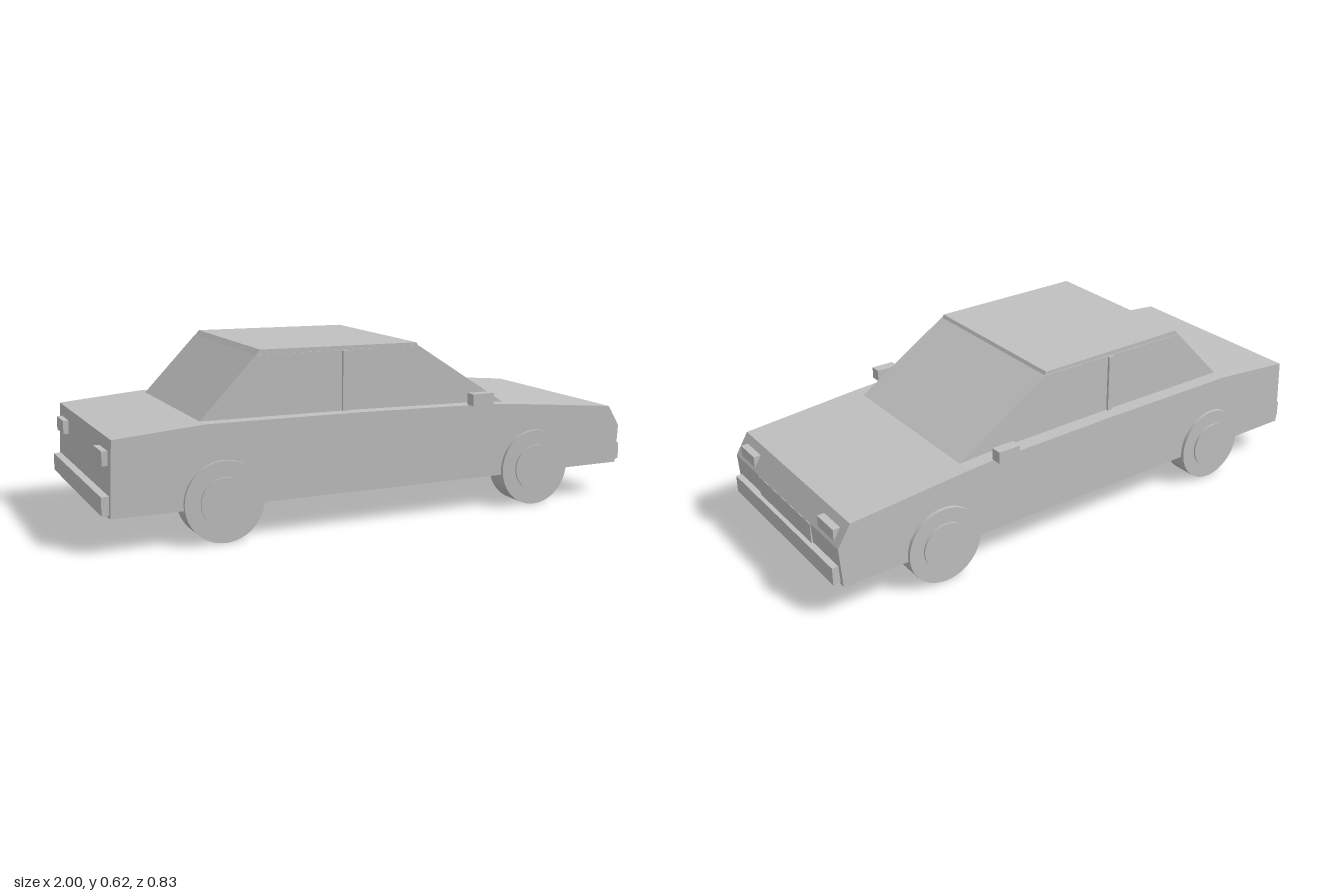
import * as THREE from 'three';

export function createModel() {
  const car = new THREE.Group();
  car.name = 'sedan';
  const paint = new THREE.MeshStandardMaterial({ color: 0xc0c0c0 });
  paint.name = 'plain grey';

  const add = (name, geometry) => {
    const mesh = new THREE.Mesh(geometry, paint);
    mesh.name = name;
    car.add(mesh);
    return mesh;
  };
  // Box given by its limits on each axis
  const box = (name, x0, x1, y0, y1, z0, z1) =>
    add(name, new THREE.BoxGeometry(x1 - x0, y1 - y0, z1 - z0))
      .position.set((x0 + x1) / 2, (y0 + y1) / 2, (z0 + z1) / 2);
  // Side profile extruded across the car
  const slab = (name, points, halfWidth) => {
    const shape = new THREE.Shape(points.map(([x, y]) => new THREE.Vector2(x, y)));
    const geometry = new THREE.ExtrudeGeometry(shape, { depth: 2 * halfWidth, bevelEnabled: false });
    add(name, geometry.translate(0, 0, -halfWidth));
  };

  // Lower body with sloping bonnet, slanted nose and boot
  slab('body', [
    [-0.977, 0.122], [0.973, 0.122], [0.982, 0.264], [0.935, 0.341],
    [0.49, 0.382], [0.4, 0.388], [-0.1, 0.397], [-0.66, 0.4], [-0.966, 0.375],
  ], 0.377);

  // Cabin and roof panel
  slab('cabin', [[-0.66, 0.39], [0.4, 0.375], [0.495, 0.381], [0.145, 0.606], [-0.462, 0.606], [-0.66, 0.4]], 0.322);
  slab('roof', [[-0.463, 0.604], [0.146, 0.604], [0.138, 0.617], [-0.447, 0.623]], 0.319);

  // Bumpers and grille
  box('frontBumper', 0.96, 1, 0.13, 0.192, -0.36, 0.36);
  box('rearBumper', -1, -0.96, 0.13, 0.192, -0.36, 0.36);
  box('grille', 0.96, 0.984, 0.19, 0.263, -0.19, 0.19);

  for (const side of [1, -1]) {
    const label = side > 0 ? 'left' : 'right';
    const sideBox = (name, x0, x1, y0, y1, z0, z1) =>
      box(label + name, x0, x1, y0, y1, Math.min(side * z0, side * z1), Math.max(side * z0, side * z1));
    // Lamps, door pillars and mirrors
    sideBox('Headlight', 0.945, 0.977, 0.276, 0.315, 0.235, 0.34);
    sideBox('TailLight', -0.988, -0.96, 0.285, 0.333, 0.23, 0.335);
    sideBox('DoorPillar', -0.15, -0.13, 0.385, 0.603, 0.315, 0.331);
    sideBox('Mirror', 0.316, 0.4, 0.392, 0.434, 0.375, 0.415);

    // Wheels with slightly raised hubs
    for (const x of [0.6, -0.6]) {
      const end = x > 0 ? 'Front' : 'Rear';
      const disc = (name, radius, z0, z1) =>
        add(label + end + name, new THREE.CylinderGeometry(radius, radius, z1 - z0, 48).rotateX(Math.PI / 2))
          .position.set(x, 0.14, side * (z0 + z1) / 2);
      disc('Wheel', 0.138, 0.298, 0.389);
      disc('Hub', 0.084, 0.38, 0.395);
    }
  }
  // Rest the tyres on the ground
  car.children.forEach((part) => { part.position.y -= 0.002; });
  return car;
}
